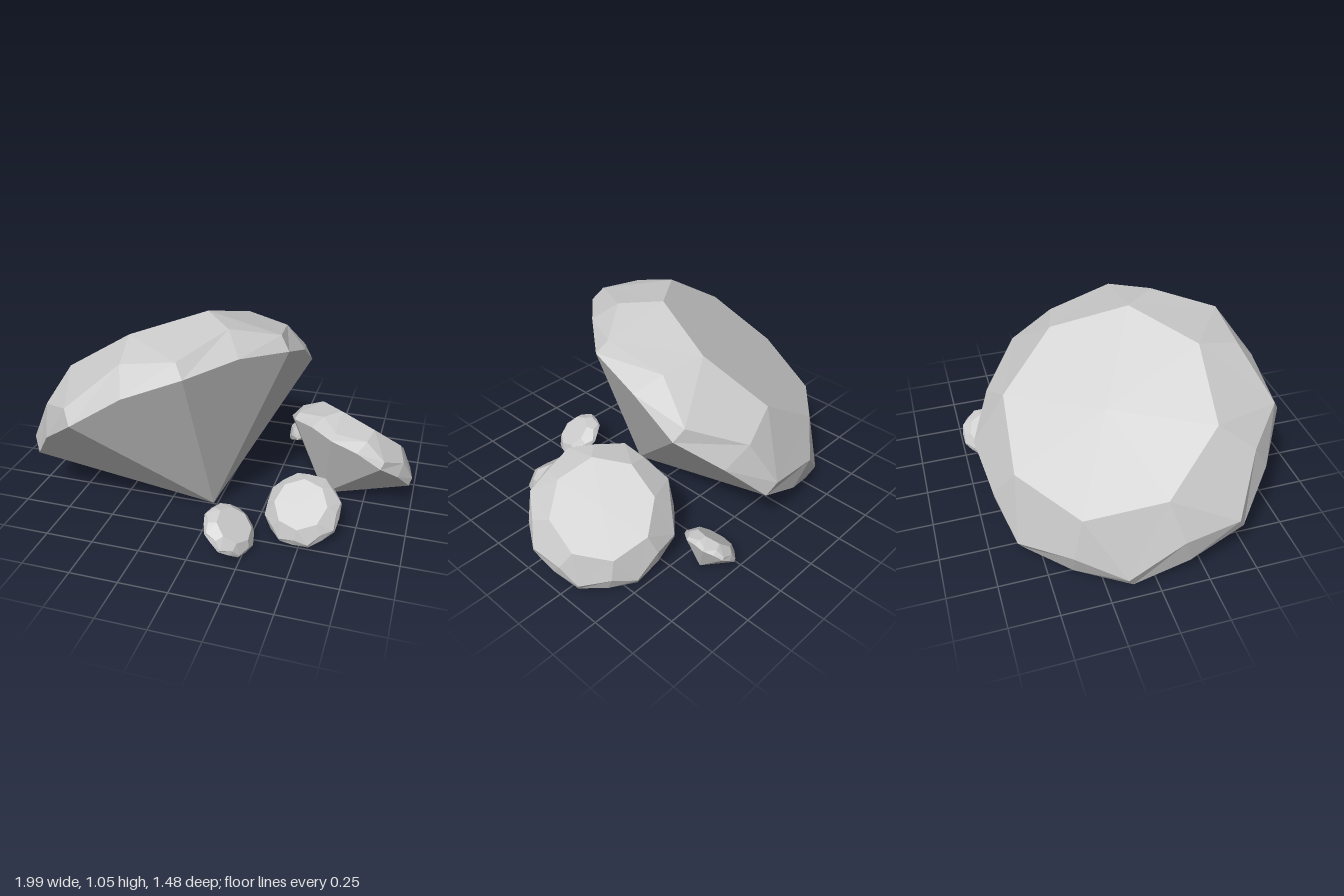
import * as THREE from 'three';

const SIDES = 16; // even indices are facet middles, odd ones are corners
const DEPTH = 0.72; // tip to girdle, for a gem of radius 1
const APOTHEM = Math.cos(Math.PI / 8);
const LEAN = Math.atan(DEPTH / APOTHEM); // tilt that lays one pavilion facet flat

// Unit brilliant-cut stone: tip at the origin, table facing +y
function gemGeometry() {
  const at = (k, r, h) => {
    const a = (k / SIDES) * Math.PI * 2;
    return [r * Math.sin(a), DEPTH + h, r * Math.cos(a)];
  };
  const midR = 0.96;
  const midH = DEPTH * (midR / APOTHEM - 1); // keeps each pavilion facet planar
  const low = [], high = [], table = [];
  for (let k = 0; k < SIDES; k++) {
    const mid = k % 2 === 0;
    low.push(mid ? at(k, midR, midH) : at(k, 1, 0));
    high.push(mid ? at(k + 0.12, 0.9, 0.235) : at(k, 0.99, 0.115));
    table.push(at(k + 0.3, 0.685, 0.43)); // the table is turned slightly
  }
  const tip = [0, 0, 0];
  const tableCentre = [0, DEPTH + 0.43, 0];
  const pos = [];
  const tri = (...corners) => corners.forEach((c) => pos.push(...c));

  for (let k = 0; k < SIDES; k++) {
    const n = (k + 1) % SIDES;
    // pavilion
    tri(tip, low[n], low[k]);
    // girdle band
    tri(low[k], low[n], high[n]);
    tri(low[k], high[n], high[k]);
    if (k % 2) continue;
    // crown facets, star facet and table
    const p = (k + SIDES - 1) % SIDES;
    const v = table[k], w = table[(k + 2) % SIDES];
    tri(high[p], high[k], v);
    tri(high[k], high[n], v);
    tri(high[n], w, v);
    tri(tableCentre, v, w);
  }
  const geo = new THREE.BufferGeometry();
  geo.setAttribute('position', new THREE.Float32BufferAttribute(pos, 3));
  geo.computeVertexNormals();
  return geo;
}

export function createModel() {
  const group = new THREE.Group();
  const geo = gemGeometry();
  const mat = new THREE.MeshStandardMaterial({ color: 0xcccccc, flatShading: true });

  // name, radius, tip x and z, direction the stone leans (x, z)
  const gems = [
    ['largeGem', 0.79, -0.02, 0.245, -0.28, -0.235],
    ['mediumGem', 0.378, 0.53, -0.025, 0.62, -0.79],
    ['smallGemFront', 0.198, 0.495, 0.245, -0.1, 1],
    ['tinyGemFront', 0.144, 0.1, 0.545, 0.93, 0.37],
    ['tinyGemBack', 0.143, 0.395, -0.605, -1, -0.05],
  ];
  for (const [name, r, x, z, hx, hz] of gems) {
    const gem = new THREE.Mesh(geo, mat);
    gem.name = name;
    gem.scale.setScalar(r);
    gem.position.set(x, 0.008, z);
    gem.rotation.set(LEAN, Math.atan2(hx, hz), 0, 'YXZ');
    group.add(gem);
  }
  return group;
}
